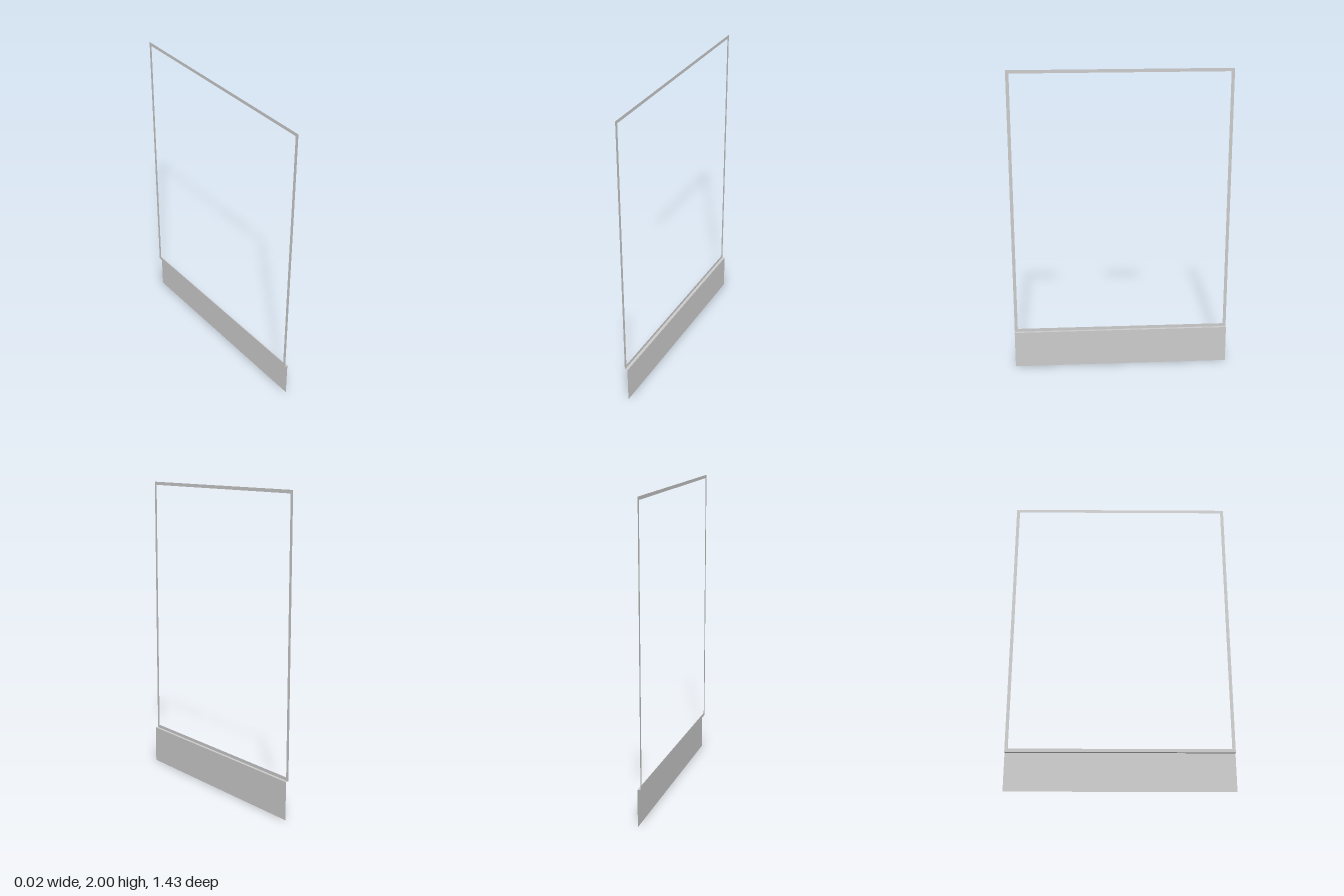
import * as THREE from 'three';

const HALF = 0.713;   // half width along z
const SILL = 0.246;   // height of the ledge
const OFFSET = 0.0095; // sheets sit either side of x = 0
const BAR = 0.021;    // width of the frame bars

export function createModel() {
  const group = new THREE.Group();
  const material = new THREE.MeshStandardMaterial({ color: 0xcccccc, side: THREE.DoubleSide });

  const add = (name, geometry, x, y) => {
    const mesh = new THREE.Mesh(geometry, material);
    mesh.name = name;
    mesh.position.set(x, y, 0);
    group.add(mesh);
  };

  const rectangle = (target, inset) => {
    const w = HALF - inset;
    target.moveTo(-w, SILL + inset);
    target.lineTo(w, SILL + inset);
    target.lineTo(w, 2 - inset);
    target.lineTo(-w, 2 - inset);
    target.closePath();
    return target;
  };

  // Thin open frame, facing +x
  const outline = rectangle(new THREE.Shape(), 0);
  outline.holes.push(rectangle(new THREE.Path(), BAR));
  add('frame', new THREE.ShapeGeometry(outline).rotateY(Math.PI / 2), -OFFSET, 0);

  // Narrow ledge joining the frame to the panel
  add('ledge', new THREE.PlaneGeometry(2 * OFFSET, 2 * HALF).rotateX(-Math.PI / 2), 0, SILL);

  // Solid panel below the opening
  add('lowerPanel', new THREE.PlaneGeometry(2 * HALF, SILL).rotateY(Math.PI / 2), OFFSET, SILL / 2);

  return group;
}
